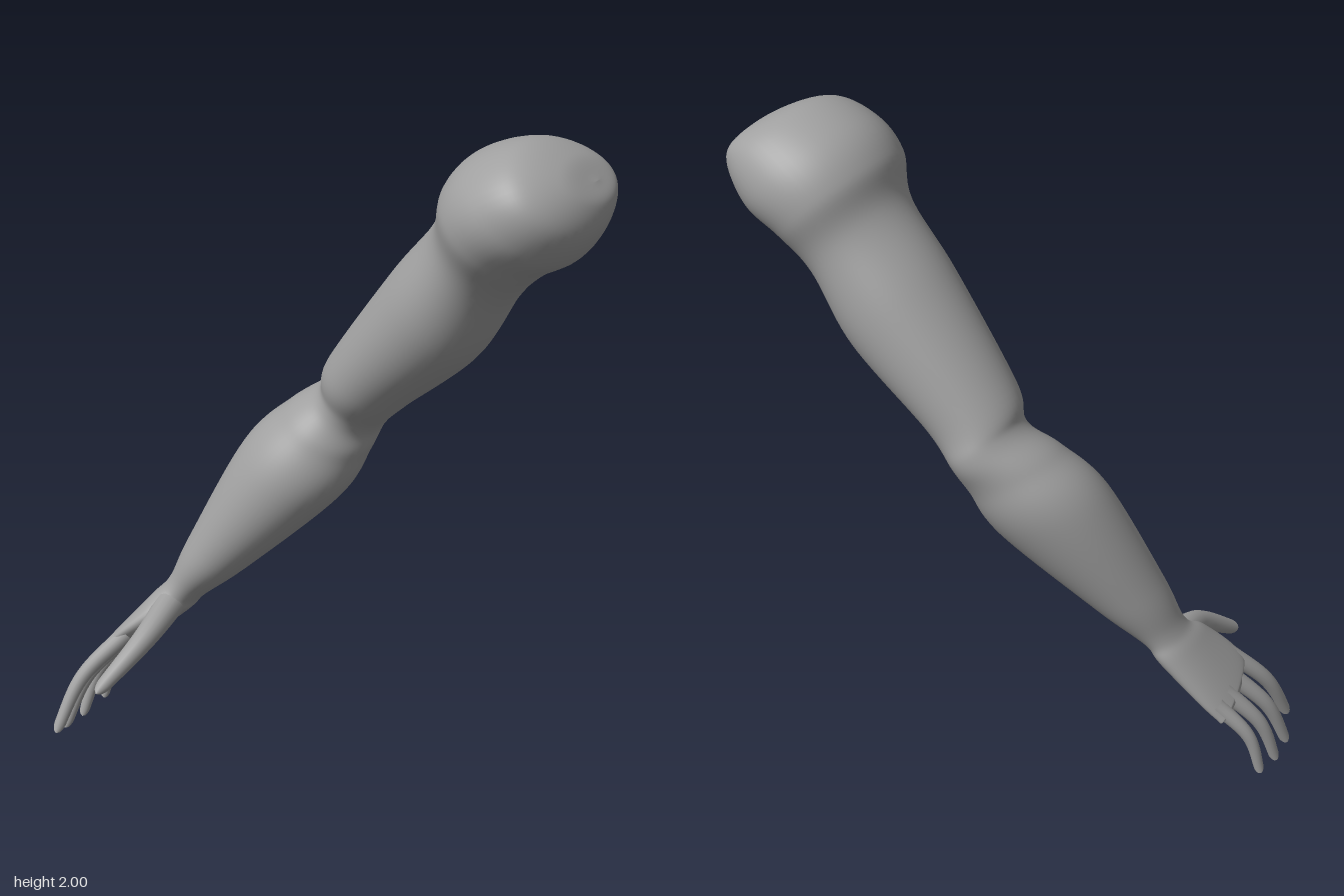
import * as THREE from 'three';

const skin = new THREE.MeshStandardMaterial({ color: 0xa0a0a0 });
skin.name = 'skin grey';

// Cross-sections from knuckles to shoulder: upper edge x,y | lower edge x,y | back z, front z
const sections = [
  [-0.665, 0.265, -0.665, 0.265, 0.13, 0.14],
  [-0.668, 0.285, -0.632, 0.255, 0.03, 0.22],
  [-0.65, 0.318, -0.6, 0.278, 0.008, 0.243],
  [-0.555, 0.455, -0.455, 0.405, -0.045, 0.18],
  [-0.51, 0.52, -0.41, 0.46, -0.057, 0.115],
  [-0.46, 0.66, -0.27, 0.58, -0.14, 0.103],
  [-0.32, 0.98, -0.02, 0.83, -0.3, 0.045],
  [-0.2, 1.11, 0.045, 0.97, -0.338, -0.03],
  [-0.105, 1.185, 0.07, 1.05, -0.364, -0.085],
  [-0.06, 1.28, 0.17, 1.145, -0.358, -0.05],
  [0.16, 1.58, 0.4, 1.34, -0.387, -0.01],
  [0.305, 1.755, 0.52, 1.535, -0.39, -0.008],
  [0.35, 1.88, 0.61, 1.625, -0.428, 0.043],
  [0.43, 1.96, 0.71, 1.685, -0.438, 0.053],
  [0.56, 2.0, 0.766, 1.765, -0.41, 0.015],
  [0.67, 1.965, 0.772, 1.845, -0.36, -0.1],
  [0.738, 1.9, 0.738, 1.9, -0.25, -0.24],
];

// Smooth closed skin through the sections
function loft(rows, steps, sides) {
  const spline = (a, b, c) => new THREE.CatmullRomCurve3(
    rows.map((r) => new THREE.Vector3(r[a], r[b], r[c])), false, 'catmullrom', 0.5);
  const upper = spline(0, 1, 4);
  const lower = spline(2, 3, 5);
  const pos = [];
  const index = [];
  for (let i = 0; i <= steps; i++) {
    const a = upper.getPoint(i / steps);
    const b = lower.getPoint(i / steps);
    const centre = a.clone().add(b).multiplyScalar(0.5);
    const u = new THREE.Vector3((a.x - b.x) / 2, (a.y - b.y) / 2, 0);
    // The hand turns gradually below the wrist, so its width axis slants
    const slant = 1 - THREE.MathUtils.smoothstep(centre.y, 0.29, 0.49);
    const w = new THREE.Vector3(0.21 * slant, 0.34 * slant, 1).multiplyScalar((b.z - a.z) / 2);
    for (let j = 0; j < sides; j++) {
      const t = (j / sides) * Math.PI * 2;
      const p = centre.clone().addScaledVector(u, Math.cos(t)).addScaledVector(w, Math.sin(t));
      pos.push(p.x, p.y, p.z);
      if (i === steps) continue;
      const p0 = i * sides + j;
      const p1 = i * sides + ((j + 1) % sides);
      index.push(p0, p1, p0 + sides, p1, p1 + sides, p0 + sides);
    }
  }
  const g = new THREE.BufferGeometry();
  g.setAttribute('position', new THREE.Float32BufferAttribute(pos, 3));
  g.setIndex(index);
  g.computeVertexNormals();
  return g;
}

// Tapered tube with a rounded tip, its middle pushed out by the bend
function digit(name, base, tip, bend, r0, r1) {
  const start = new THREE.Vector3(...base);
  const end = new THREE.Vector3(...tip);
  const middle = start.clone().lerp(end, 0.5).add(new THREE.Vector3(...bend));
  const curve = new THREE.CatmullRomCurve3([start, middle, end]);
  const steps = 48, sides = 16;
  const g = new THREE.TubeGeometry(curve, steps, 1, sides);
  const pos = g.attributes.position;
  const v = new THREE.Vector3();
  for (let i = 0; i <= steps; i++) {
    const t = i / steps;
    const c = curve.getPointAt(t);
    const cap = Math.max(0, (t - 0.9) / 0.1);
    const r = THREE.MathUtils.lerp(r0, r1, t) * Math.sqrt(Math.max(0, 1 - cap * cap));
    for (let j = 0; j <= sides; j++) {
      const k = i * (sides + 1) + j;
      v.fromBufferAttribute(pos, k).sub(c).multiplyScalar(r).add(c);
      pos.setXYZ(k, v.x, v.y, v.z);
    }
  }
  const mesh = new THREE.Mesh(g, skin);
  mesh.name = name;
  return mesh;
}

export function createModel() {
  const model = new THREE.Group();
  model.name = 'arm';

  // Shoulder, upper arm, forearm and palm in one skin
  const limb = new THREE.Mesh(loft(sections, 160, 48), skin);
  limb.name = 'shoulderToPalm';
  model.add(limb);

  // Fingers and thumb, from inside the palm to the tip
  const fingers = new THREE.Group();
  fingers.name = 'fingers';
  const curl = [-0.028, 0.016, 0.01];
  fingers.add(
    digit('indexFinger', [-0.575, 0.355, 0.2], [-0.715, 0.04, 0.395], curl, 0.029, 0.017),
    digit('middleFinger', [-0.61, 0.32, 0.15], [-0.757, 0.004, 0.308], curl, 0.029, 0.016),
    digit('ringFinger', [-0.63, 0.3, 0.09], [-0.766, 0.001, 0.216], curl, 0.028, 0.015),
    digit('littleFinger', [-0.635, 0.285, 0.035], [-0.763, 0.022, 0.113], curl, 0.026, 0.014),
    digit('thumb', [-0.49, 0.46, 0.05], [-0.505, 0.265, 0.432], [0.034, 0.028, 0], 0.05, 0.02),
  );
  model.add(fingers);
  return model;
}
